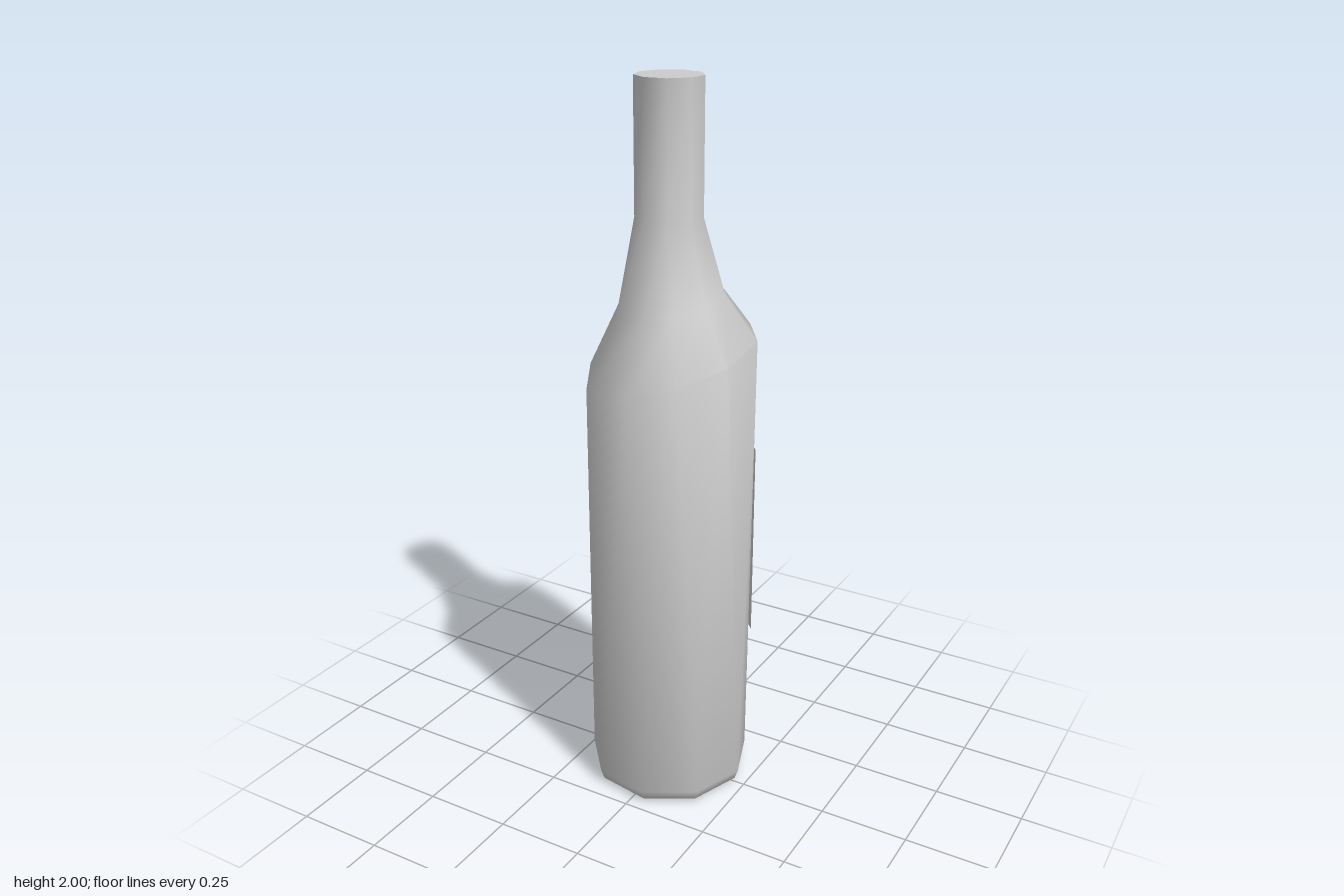
import * as THREE from 'three';
import { toCreasedNormals } from 'three/addons/utils/BufferGeometryUtils.js';

const SIDES = 9;
const grey = () => new THREE.MeshStandardMaterial({ color: 0xcccccc, side: THREE.DoubleSide });

// Angles in degrees, from +x towards +z
const even = (start) => Array.from({ length: SIDES }, (_, i) => start + (i * 360) / SIDES);
const baseAngles = even(0);
const shoulderAngles = [21, 57, 88, 128, 173, 218, 263, 308, 342];
const neckAngles = even(25);

// One cross-section; tilt raises its left and back sides
function ring(r, y, angles, tilt = 0) {
  return angles.map((deg) => {
    const a = THREE.MathUtils.degToRad(deg);
    const c = Math.cos(a), s = Math.sin(a);
    return new THREE.Vector3(r * c, y + tilt * (c - s), r * s);
  });
}

// Skins a stack of rings, optionally closing both ends
function skin(rings, closed) {
  const points = [];
  const n = rings[0].length;
  const count = closed ? n : n - 1;
  for (let k = 0; k < rings.length - 1; k++) {
    const b = rings[k], t = rings[k + 1];
    for (let i = 0; i < count; i++) {
      const j = (i + 1) % n;
      points.push(b[i], t[i], b[j], t[i], t[j], b[j]);
    }
  }
  if (closed) {
    const low = rings[0], top = rings[rings.length - 1];
    for (let i = 1; i < n - 1; i++) {
      points.push(low[0], low[i], low[i + 1], top[0], top[i + 1], top[i]);
    }
  }
  return toCreasedNormals(new THREE.BufferGeometry().setFromPoints(points), 0.9);
}

function addPart(group, name, geometry) {
  const mesh = new THREE.Mesh(geometry, grey());
  mesh.name = name;
  group.add(mesh);
}

export function createModel() {
  const group = new THREE.Group();
  group.name = 'bottle';

  // Glass: bevelled foot, faceted body, uneven shoulder, slim neck
  addPart(group, 'glass', skin([
    ring(0.205, 0, baseAngles),
    ring(0.22, 0.012, baseAngles),
    ring(0.23, 0.04, baseAngles),
    ring(0.234, 1.275, shoulderAngles, 0.045),
    ring(0.147, 1.425, shoulderAngles, 0.02),
    ring(0.09, 1.65, neckAngles),
    ring(0.09, 2, neckAngles),
  ], true));

  // Paper label wrapped round the back
  const labelAngles = [208, 231, 251, 270, 280, 306, 326];
  addPart(group, 'backLabel', skin([
    ring(0.236, 0.44, labelAngles),
    ring(0.236, 1.0, labelAngles),
  ], false));

  return group;
}
